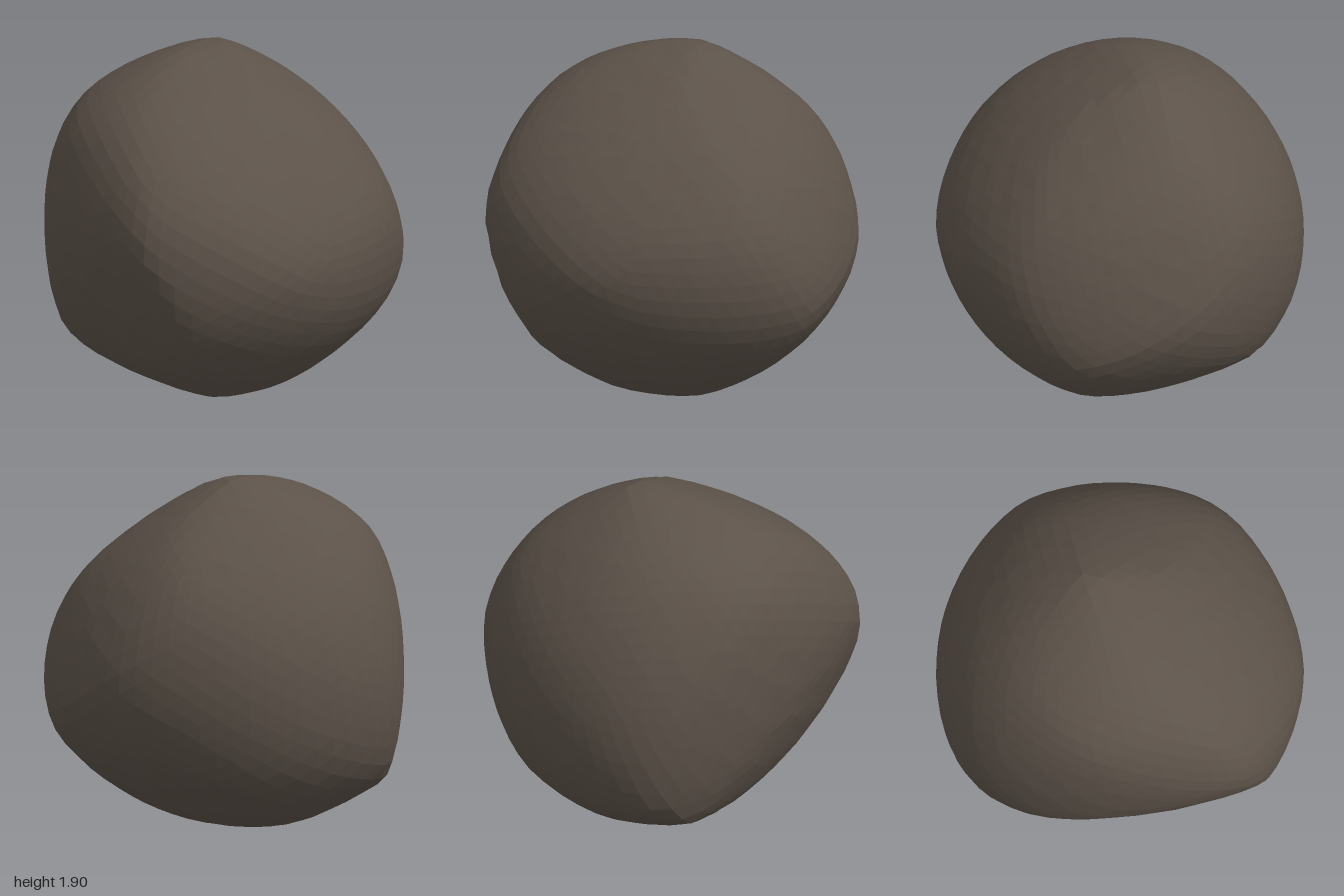
import * as THREE from 'three';

// Rings of cutting planes: each ring is tilted by a turn and a lift (degrees),
// and lists how far the stone reaches from its middle at 16 even steps around
const rings = [
  { turn: 0, lift: 0, reach: [.975, .92, .845, .894, .95, .945, .968, .95, .975, 1.066, 1.09, 1.01, .95, .97, .962, .993] },
  { turn: 90, lift: 0, reach: [1, .986, .955, .977, .95, .892, .916, .983, 1, .99, .962, .956, .95, .967, 1.022, 1.027] },
  { turn: 0, lift: 90, reach: [.975, 1.018, 1.03, 1.031, 1, 1, 1.005, 1.013, .975, .88, .845, .96, 1, .973, .972, .932] },
  { turn: 45, lift: 22, reach: [1.015, .945, .94, .941, .96, .949, .962, .924, .855, .83, .89, .931, .937, .95, 1.018, 1.066] },
  { turn: 225, lift: 22, reach: [.855, .912, .94, .894, .835, .815, .87, .93, 1.015, 1.028, .978, .95, 1.015, 1.055, 1.029, .894] },
  { turn: 135, lift: -22, reach: [1, .962, .93, .94, .92, .84, .8, .88, .937, .959, .948, .93, .914, 1.003, 1.089, 1.068] },
];

function ringPlanes({ turn, lift, reach }) {
  const tilt = new THREE.Euler(
    -THREE.MathUtils.degToRad(lift), THREE.MathUtils.degToRad(turn), 0, 'YXZ');
  return reach.map((distance, i) => {
    const a = (i / reach.length) * Math.PI * 2;
    return { normal: new THREE.Vector3(Math.cos(a), Math.sin(a), 0).applyEuler(tilt), distance };
  });
}

// Smooth influence of one direction on another
const MEAN = 0.95;
function influence(a, b) {
  const d = a.distanceTo(b) / 0.4;
  return (1 + d) * Math.exp(-d);
}

// Weights that make the summed influences pass through the ring planes
function fitWeights(known) {
  const table = known.map((p) => known.map((q) => influence(p.normal, q.normal)));
  const weights = known.map(() => 0);
  for (let sweep = 0; sweep < 400; sweep++) {
    known.forEach((plane, i) => {
      let rest = plane.distance - MEAN;
      table[i].forEach((k, j) => { if (j !== i) rest -= k * weights[j]; });
      weights[i] = rest / 1.01;
    });
  }
  return weights;
}

// Planes spread evenly over the sphere, following the ring planes smoothly
function spreadPlanes(count) {
  const known = rings.flatMap(ringPlanes);
  const weights = fitWeights(known);
  return Array.from({ length: count }, (_, i) => {
    const y = 1 - (2 * i + 1) / count, r = Math.sqrt(1 - y * y), a = i * 2.399963;
    const normal = new THREE.Vector3(r * Math.cos(a), y, r * Math.sin(a));
    const distance = known.reduce(
      (sum, plane, j) => sum + weights[j] * influence(normal, plane.normal), MEAN);
    return { normal, distance };
  });
}

export function createModel() {
  const stone = new THREE.MeshStandardMaterial({ color: 0x5c5249 });
  stone.name = 'darkStone';

  // Chisel a faceted ball back to the nearest cutting plane in each direction
  const planes = spreadPlanes(1200);
  const geometry = new THREE.IcosahedronGeometry(1, 11);
  const pos = geometry.attributes.position;
  const dir = new THREE.Vector3();
  for (let i = 0; i < pos.count; i++) {
    dir.fromBufferAttribute(pos, i).normalize();
    let radius = 2;
    for (const { normal, distance } of planes) {
      const facing = normal.dot(dir);
      if (facing > 0.3) radius = Math.min(radius, distance / facing);
    }
    dir.multiplyScalar(radius);
    pos.setXYZ(i, dir.x, dir.y, dir.z);
  }
  geometry.computeVertexNormals(); // unshared corners keep the facets flat

  const boulder = new THREE.Mesh(geometry, stone);
  boulder.name = 'boulder';
  boulder.position.y = 0.95;
  const group = new THREE.Group();
  group.name = 'rock';
  group.add(boulder);
  return group;
}
